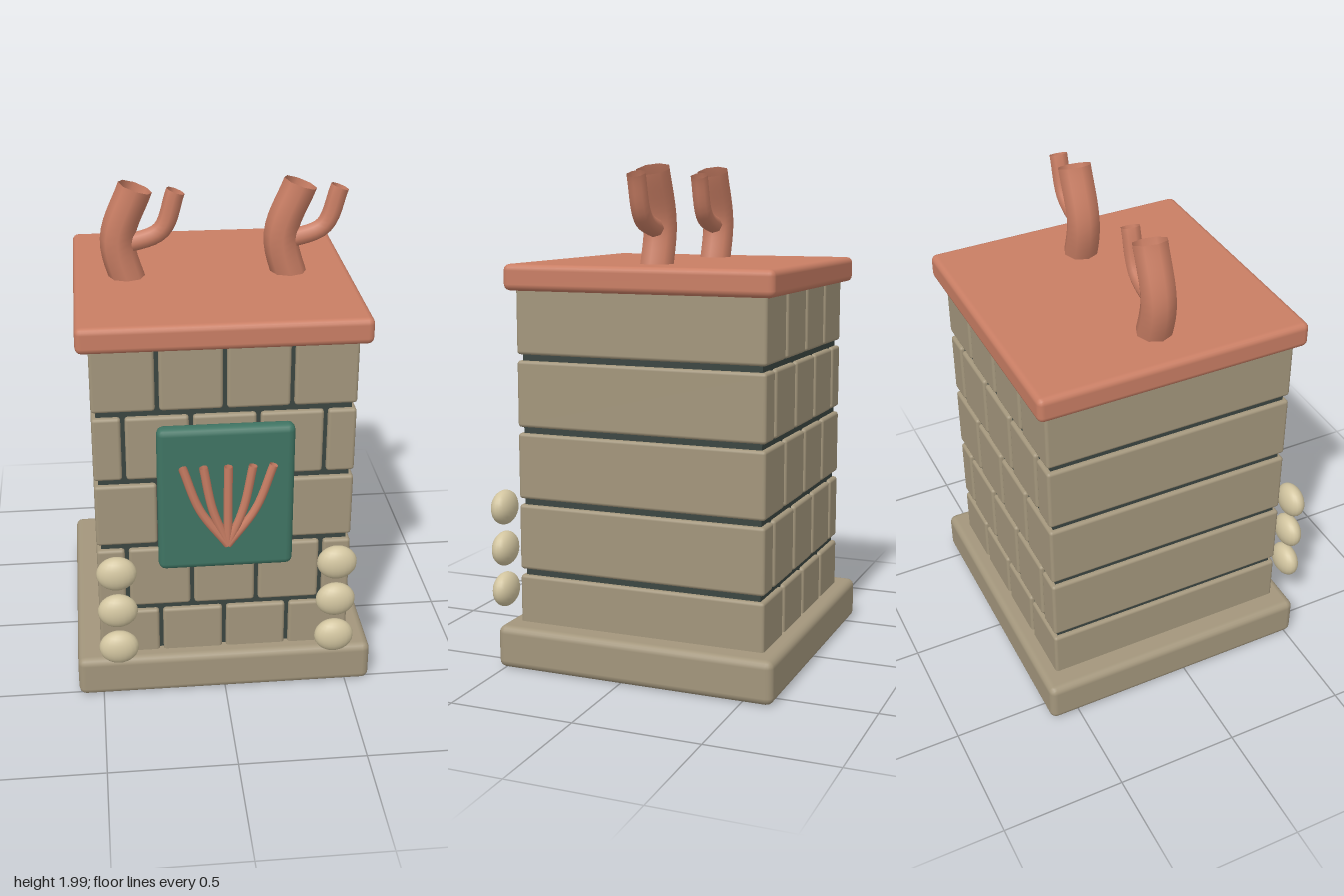
import * as THREE from 'three';
import { RoundedBoxGeometry } from 'three/addons/geometries/RoundedBoxGeometry.js';

function material(name, color, side = THREE.FrontSide) {
  const m = new THREE.MeshStandardMaterial({ color, side });
  m.name = name;
  return m;
}

export function createModel() {
  const model = new THREE.Group();
  model.name = 'chimney';
  const stone = material('stone', 0xa3967c);
  const mortar = material('dark mortar', 0x3b4541);
  const coral = material('coral', 0xc97e64, THREE.DoubleSide);
  const teal = material('teal', 0x3f7463);
  const sand = material('pale sand', 0xd2c5a0);

  const add = (name, geometry, mat, parent = model) => {
    const mesh = new THREE.Mesh(geometry, mat);
    mesh.name = name;
    parent.add(mesh);
    return mesh;
  };
  // Rounded box given by its limits on each axis
  const box = (name, [x0, x1], [y0, y1], [z0, z1], radius, mat, parent) => {
    const mesh = add(name, new RoundedBoxGeometry(x1 - x0, y1 - y0, z1 - z0, 2, radius), mat, parent);
    mesh.position.set((x0 + x1) / 2, (y0 + y1) / 2, (z0 + z1) / 2);
    return mesh;
  };
  const tube = (name, points, radius, sides, parent) => {
    const curve = new THREE.CatmullRomCurve3(points.map(([x, y]) => new THREE.Vector3(x, y, 0)));
    return add(name, new THREE.TubeGeometry(curve, 14, radius, sides, false), coral, parent);
  };

  // Plinth, mortar core and cap slab
  box('base', [-0.6, 0.6], [0, 0.172], [-0.622, 0.53], 0.03, stone);
  const core = add('mortarCore', new THREE.BoxGeometry(0.975, 1.4, 0.99), mortar);
  core.position.set(0, 0.82, -0.043);
  box('capSlab', [-0.552, 0.552], [1.505, 1.608], [-0.598, 0.505], 0.025, coral);

  // Five courses of blocks in running bond
  const blocks = new THREE.Group();
  blocks.name = 'stoneBlocks';
  model.add(blocks);
  const gap = 0.008;
  for (let row = 0; row < 5; row++) {
    const seams = row % 2 ? [-0.513, -0.387, -0.129, 0.129, 0.387, 0.513] : [-0.513, -0.256, 0, 0.256, 0.513];
    const y = 0.1 + row * 0.2885;
    for (let i = 0; i < seams.length - 1; i++) {
      box('block', [seams[i] + gap, seams[i + 1] - gap], [y, y + 0.264], [-0.557, 0.472], 0.013, stone, blocks);
    }
  }

  // Front plaque with a fan of five coral branches
  box('plaque', [-0.264, 0.264], [0.586, 1.2], [0.465, 0.532], 0.028, teal);
  const fan = new THREE.Group();
  fan.name = 'coralFan';
  fan.position.z = 0.588;
  model.add(fan);
  for (const spread of [-0.172, -0.094, 0, 0.094, 0.172]) {
    tube('fanBranch', [[0, 0.73], [spread * 0.62, 0.885], [spread, 1.07]], 0.017, 8, fan);
  }

  // Columns of pebbles either side of the front
  for (const x of [-0.432, 0.432]) {
    for (const y of [0.273, 0.445, 0.617]) {
      const pebble = add('pebble', new THREE.SphereGeometry(1, 20, 14), sand);
      pebble.scale.set(0.079, 0.071, 0.047);
      pebble.position.set(x, y, 0.579);
    }
  }

  // Two branching open chimney pipes
  for (const x of [-0.322, 0.323]) {
    const pipe = new THREE.Group();
    pipe.name = 'branchedPipe';
    pipe.position.set(x, 0, -0.043);
    model.add(pipe);
    tube('mainPipe', [[0, 1.55], [-0.05, 1.76], [0.024, 1.967]], 0.069, 8, pipe);
    tube('sidePipe', [[-0.03, 1.735], [0.12, 1.79], [0.18, 1.948]], 0.038, 8, pipe);
  }

  return model;
}
